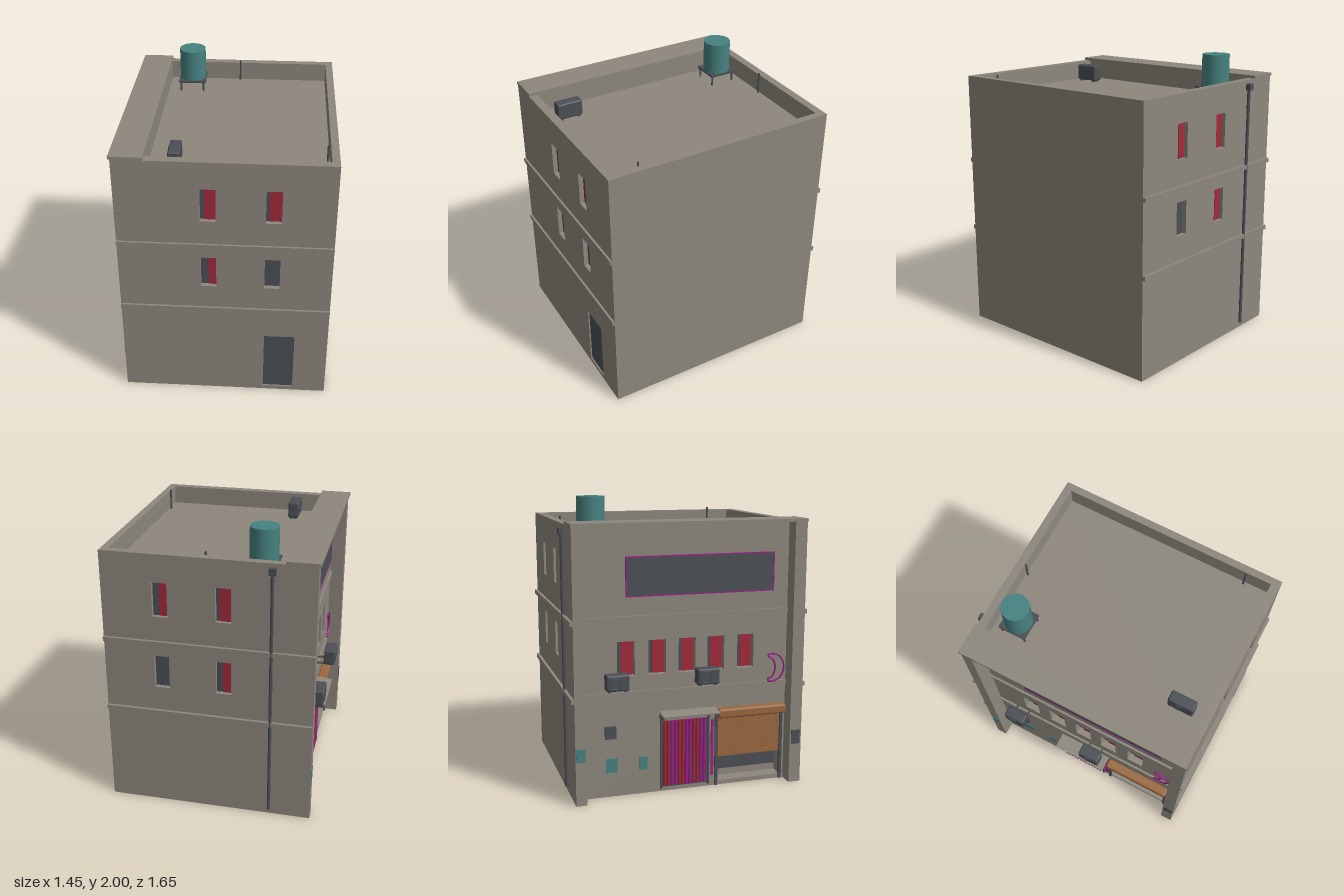
import * as THREE from 'three';
import { RoundedBoxGeometry } from 'three/addons/geometries/RoundedBoxGeometry.js';

const mat = (name, color) => Object.assign(new THREE.MeshStandardMaterial({ color }), { name });

export function createModel() {
  const root = new THREE.Group();
  root.name = 'building';
  const wall = mat('concrete', 0x8d877d);
  const dark = mat('dark metal', 0x4b4f55);
  const red = mat('red curtain', 0xa22a3b);
  const teal = mat('teal', 0x468280);
  const brown = mat('brown wood', 0x9a6840);
  const magenta = mat('magenta neon', 0xa01f8a);

  const add = (name, geo, m, parent = root) => {
    const mesh = new THREE.Mesh(geo, m);
    mesh.name = name;
    parent.add(mesh);
    return mesh;
  };
  // Box from its minimum and maximum corners
  const box = (name, m, x0, x1, y0, y1, z0, z1, parent = root) => {
    const b = add(name, new THREE.BoxGeometry(x1 - x0, y1 - y0, z1 - z0), m, parent);
    b.position.set((x0 + x1) / 2, (y0 + y1) / 2, (z0 + z1) / 2);
    return b;
  };
  const rod = (name, m, r, x, y0, y1, z, sides = 8) => {
    const c = add(name, new THREE.CylinderGeometry(r, r, y1 - y0, sides), m);
    c.position.set(x, (y0 + y1) / 2, z);
    return c;
  };
  // Upright wall with rectangular holes [u0, u1, y0, y1]
  const holedWall = (name, u0, u1, top, holes, depth) => {
    const rect = (P, a, b, c, d) => {
      const p = new P();
      p.moveTo(a, c); p.lineTo(b, c); p.lineTo(b, d); p.lineTo(a, d); p.closePath();
      return p;
    };
    const s = rect(THREE.Shape, u0, u1, 0, top);
    holes.forEach((h) => s.holes.push(rect(THREE.Path, ...h)));
    return add(name, new THREE.ExtrudeGeometry(s, { depth, bevelEnabled: false }), wall);
  };

  // Main block up to the roof deck, with parapet on the closed side
  box('core', wall, -0.48, 0.672, 0, 1.7, -0.74, 0.75);
  box('sideWall', wall, 0.672, 0.722, 0, 1.83, -0.74, 0.75);

  // Front and back walls with windows
  const rows = [[0.895, 1.125], [1.405, 1.64]];
  const cols = [[-0.138, -0.036], [0.28, 0.381]];
  const holes = rows.flatMap((r) => cols.map((c) => [...c, ...r]));
  const door = [0.288, 0.496, 0.03, 0.485];
  holedWall('frontWall', -0.682, 0.722, 1.83, [...holes, door], 0.06).position.z = 0.75;
  holedWall('backWall', -0.682, 0.722, 1.83, holes, 0.055).position.z = -0.795;
  box('frontDoor', dark, door[0], door[1], door[2], door[3], 0.75, 0.8);
  const frontRed = [0.052, 0, 0.075, 0.081], backRed = [0.06, 0, 0.08, 0.06];
  holes.forEach(([a, b, c, d], i) => {
    box('frontPane', dark, a, b, c, d, 0.75, 0.778);
    box('backPane', dark, a, b, c, d, -0.765, -0.74);
    if (frontRed[i]) box('frontCurtain', red, b - frontRed[i], b, c, d, 0.777, 0.782);
    if (backRed[i]) box('backCurtain', red, a, a + backRed[i], c, d, -0.769, -0.764);
  });

  // Shop facade, set back between two corner piers
  const shopWindows = [-0.425, -0.21, 0, 0.205, 0.42].map((z) => [z - 0.06, z + 0.06, 0.83, 1.065]);
  const counter = [0.225, 0.7, 0.03, 0.51];
  const facade = holedWall('facade', -0.74, 0.75, 1.83, [...shopWindows, counter], 0.1);
  facade.rotation.y = -Math.PI / 2;
  facade.position.x = -0.48;
  box('pier', wall, -0.682, -0.58, 0, 1.83, -0.74, -0.72);
  box('pier', wall, -0.682, -0.58, 0, 1.83, 0.725, 0.75);
  box('cornice', wall, -0.695, -0.48, 1.83, 1.85, -0.8, 0.81);
  shopWindows.forEach(([a, b, c, d]) => {
    box('shopPane', dark, -0.53, -0.52, c, d, a, b);
    box('shopCurtain', red, -0.536, -0.53, c, d, a + 0.035, b);
  });

  // Floor bands
  for (const y of [0.695, 1.205]) {
    box('frontBand', wall, -0.682, 0.722, y, y + 0.03, 0.8, 0.825);
    box('backBand', wall, -0.682, 0.722, y, y + 0.03, -0.815, -0.79);
    box('facadeBand', wall, -0.595, -0.57, y, y + 0.03, -0.72, 0.725);
  }

  // Blank billboard with a thin neon border
  box('billboard', dark, -0.594, -0.58, 1.365, 1.62, -0.42, 0.61);
  for (const y of [1.36, 1.618]) box('billboardTrim', magenta, -0.597, -0.58, y, y + 0.007, -0.425, 0.615);
  for (const z of [-0.425, 0.608]) box('billboardTrim', magenta, -0.597, -0.58, 1.36, 1.625, z, z + 0.007);

  // Neon crescent outline
  const moon = [];
  const arc = (i, ry, z, rz) => {
    const a = -1.9 + 0.38 * i;
    moon.push(new THREE.Vector3(-0.594, 0.82 + ry * Math.sin(a), z + rz * Math.cos(a)));
  };
  for (let i = 0; i <= 10; i++) arc(i, 0.098, 0.615, 0.09);
  for (let i = 9; i >= 1; i--) arc(i, 0.075, 0.59, 0.05);
  add('crescent', new THREE.TubeGeometry(new THREE.CatmullRomCurve3(moon, true), 60, 0.006, 6, true), magenta);

  // Doorway with strip curtain and small canopy
  box('doorway', dark, -0.585, -0.575, 0.03, 0.5, -0.18, 0.15);
  for (let i = 0; i < 12; i++) {
    rod('curtainStrip', i % 4 < 2 ? red : magenta, 0.012, -0.588, 0.04, 0.5, -0.16 + i * 0.026, 6);
  }
  for (const z of [-0.185, 0.155]) box('doorPost', dark, -0.595, -0.58, 0.02, 0.52, z - 0.006, z + 0.006);
  const canopy = box('canopy', wall, -0.69, -0.575, 0.554, 0.564, -0.195, 0.205);
  canopy.rotation.z = 0.12;
  for (const z of [-0.19, 0.19]) box('canopyBracket', dark, -0.67, -0.58, 0.53, 0.545, z - 0.007, z + 0.007);
  box('neonStrip', magenta, -0.592, -0.58, 0.08, 0.48, 0.175, 0.192);

  // Serving counter with half-lowered slatted shutter
  box('counterGlass', dark, -0.488, -0.48, 0.08, 0.51, 0.225, 0.7);
  for (let i = 0; i < 20; i++) {
    const y = 0.205 + i * 0.0153;
    box('shutterSlat', brown, i % 2 ? -0.583 : -0.579, -0.57, y, y + 0.0153, 0.228, 0.69);
  }
  const hood = add('shutterHood', new RoundedBoxGeometry(0.07, 0.065, 0.5, 2, 0.015), brown);
  hood.position.set(-0.612, 0.53, 0.46);
  for (const z of [0.213, 0.697]) box('counterPost', dark, -0.592, -0.575, 0, 0.53, z - 0.01, z + 0.01);

  // Posters and meter box
  box('meterBox', dark, -0.598, -0.58, 0.41, 0.495, -0.575, -0.5);
  box('poster', teal, -0.584, -0.579, 0.17, 0.27, -0.57, -0.49);
  box('poster', teal, -0.584, -0.579, 0.17, 0.26, -0.335, -0.28);
  box('poster', teal, -0.685, -0.68, 0.3, 0.39, -0.79, -0.73);
  box('poster', dark, -0.685, -0.68, 0.28, 0.38, 0.735, 0.8);

  // Air conditioners, fan facing the shop side
  const aircon = (x, y, z, w, h, d) => {
    const g = new THREE.Group();
    g.name = 'airConditioner';
    add('casing', new RoundedBoxGeometry(d, h, w, 2, 0.012), dark, g);
    const ring = add('fanRing', new THREE.TorusGeometry(h * 0.36, 0.004, 6, 20), dark, g);
    ring.rotation.y = Math.PI / 2;
    ring.position.set(-d / 2, 0, -w * 0.12);
    const hub = add('fanHub', new THREE.CylinderGeometry(h * 0.13, h * 0.13, 0.006, 12), dark, g);
    hub.rotation.z = Math.PI / 2;
    hub.position.set(-d / 2, 0, -w * 0.12);
    for (const s of [-1, 1]) box('foot', dark, -d * 0.3, d * 0.4, -h / 2 - 0.01, -h / 2 + 0.004, s * w * 0.35 - 0.008, s * w * 0.35 + 0.008, g);
    g.position.set(x, y, z);
    root.add(g);
  };
  for (const z of [-0.512, 0.108]) {
    aircon(-0.68, 0.822, z, 0.155, 0.108, 0.08);
    for (const s of [-0.05, 0.05]) box('airConditionerBracket', dark, -0.695, -0.575, 0.758, 0.768, z + s - 0.006, z + s + 0.006);
  }
  aircon(-0.307, 1.768, 0.6, 0.18, 0.115, 0.076);

  // Water tank on its stand
  box('tankStand', dark, -0.404, -0.211, 1.765, 1.78, -0.685, -0.492);
  for (const x of [-0.39, -0.225]) for (const z of [-0.672, -0.505]) rod('standLeg', dark, 0.007, x, 1.7, 1.77, z);
  rod('waterTank', teal, 0.094, -0.307, 1.78, 2, -0.588, 24);

  // Roof poles
  rod('roofPole', dark, 0.007, 0.037, 1.7, 1.85, -0.728);
  rod('roofPole', dark, 0.007, 0.655, 1.7, 1.85, 0.577);

  // Drainpipe
  rod('drainpipe', dark, 0.011, -0.4, 0.04, 1.77, -0.805, 10);
  box('rainHead', dark, -0.423, -0.379, 1.76, 1.805, -0.825, -0.79);
  for (const y of [0.19, 0.97, 1.65]) box('pipeClip', dark, -0.413, -0.387, y - 0.004, y + 0.004, -0.806, -0.79);

  return root;
}
